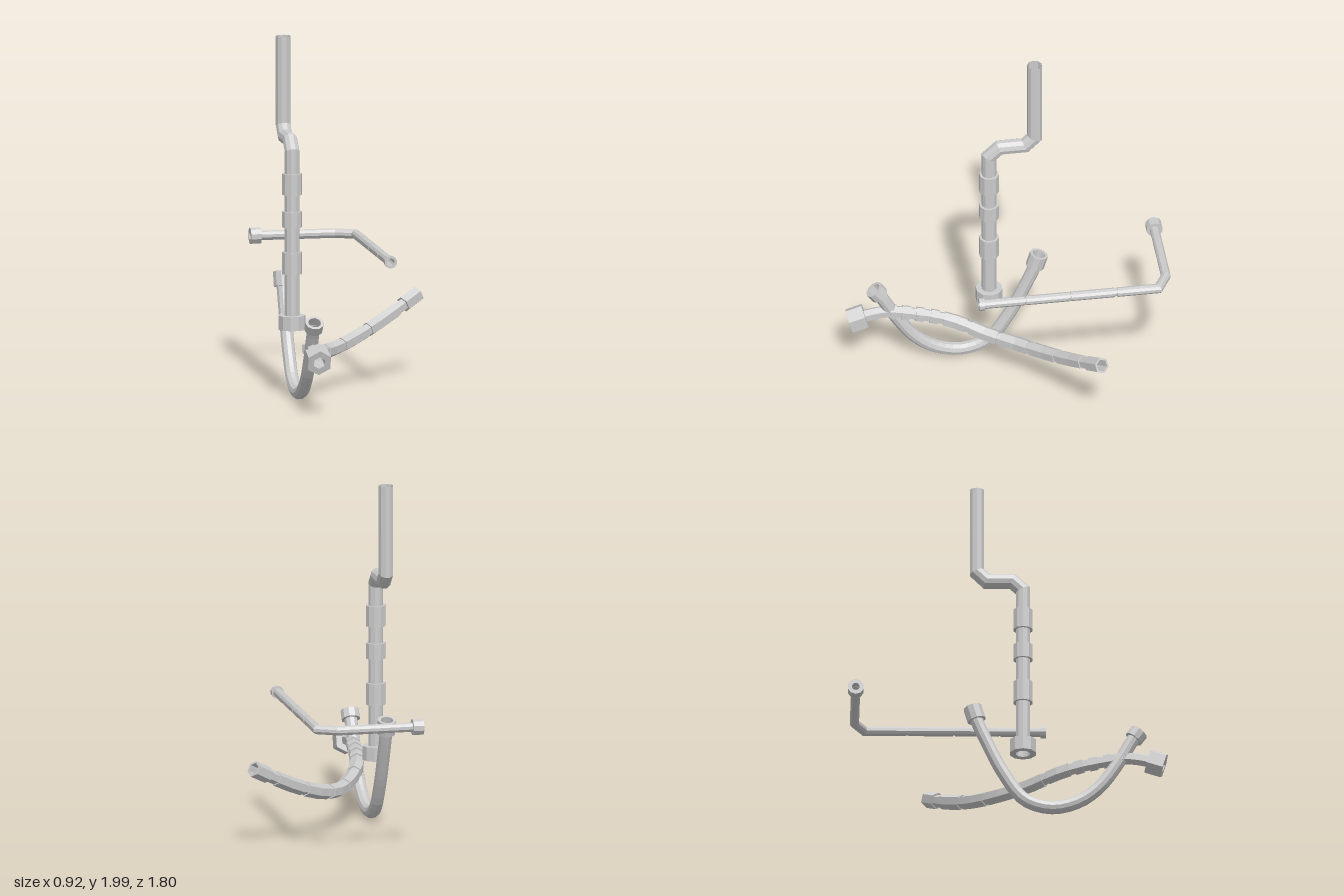
import * as THREE from 'three';

const V = (x, y, z) => new THREE.Vector3(x, y, z);
const X = V(1, 0, 0), Y = V(0, 1, 0);
const PX = -0.39; // x of the three pipes on the right-hand side

const material = new THREE.MeshStandardMaterial({ color: 0xcccccc, flatShading: true, side: THREE.DoubleSide });

// Sweeps a polygon along points with mitred corners; `ref` is the normal of the bend.
// With `ri` the ends are closed by an annular rim down to that inner radius.
function sweep(name, pts, r, sides, ref, ri) {
  const rings = pts.map((p, i) => [i, r]);
  if (ri) {
    rings.unshift([0, ri]);
    rings.push([pts.length - 1, ri]);
  }
  const pos = [], idx = [];
  for (const [i, rad] of rings) {
    const a = pts[i].clone().sub(pts[Math.max(i - 1, 0)]).normalize();
    const b = pts[Math.min(i + 1, pts.length - 1)].clone().sub(pts[i]).normalize();
    const t = a.clone().add(b).normalize();
    const miter = i > 0 && i < pts.length - 1 ? 1 / t.dot(b) : 1;
    const side = ref.clone().cross(t).normalize();
    const up = t.clone().cross(side);
    for (let k = 0; k < sides; k++) {
      const w = (k / sides) * Math.PI * 2;
      const p = pts[i].clone()
        .addScaledVector(up, Math.cos(w) * rad)
        .addScaledVector(side, -Math.sin(w) * rad * miter);
      pos.push(p.x, p.y, p.z);
    }
  }
  for (let i = 0; i < rings.length - 1; i++) {
    for (let k = 0; k < sides; k++) {
      const a = i * sides + k, b = i * sides + (k + 1) % sides;
      idx.push(a, b, a + sides, b, b + sides, a + sides);
    }
  }
  const g = new THREE.BufferGeometry();
  g.setAttribute('position', new THREE.Float32BufferAttribute(pos, 3));
  g.setIndex(idx);
  g.computeVertexNormals();
  const mesh = new THREE.Mesh(g, material);
  mesh.name = name;
  return mesh;
}

// Points of a curve between two arc-length fractions
const slice = (curve, u0, u1, n) =>
  Array.from({ length: n + 1 }, (_, i) => curve.getPointAt(u0 + (u1 - u0) * i / n));

function group(name, ...parts) {
  const g = new THREE.Group();
  g.name = name;
  g.add(...parts);
  return g;
}

// Tall pipe with an offset bend, three sleeves and a foot collar
function uprightPipe() {
  const path = [[2, -0.175], [1.495, -0.175], [1.44, -0.12], [1.44, 0.025], [1.385, 0.083], [0.375, 0.083]];
  const g = group('uprightPipe', sweep('pipe', path.map(([y, z]) => V(PX, y, z)), 0.042, 10, X));
  const collars = [[1.26, 1.14, 0.056], [1.045, 0.955, 0.056], [0.815, 0.69, 0.056], [0.455, 0.375, 0.076]];
  for (const [y0, y1, r] of collars) {
    g.add(sweep('collar', [V(PX, y0, 0.083), V(PX, y1, 0.083)], r, 10, X, 0.041));
  }
  return g;
}

// U-shaped pipe with a collar at each end
function curvedPipe() {
  const path = [[0.515, 0.735], [0.467, 0.7], [0.318, 0.615], [0.17, 0.51], [0.08, 0.393], [0.043, 0.244],
    [0.09, 0.095], [0.244, -0.02], [0.44, -0.117], [0.59, -0.18], [0.66, -0.2]];
  const curve = new THREE.CatmullRomCurve3(path.map(([y, z]) => V(PX, y, z)));
  return group('curvedPipe',
    sweep('pipe', slice(curve, 0, 1, 32), 0.037, 10, X),
    sweep('frontCollar', slice(curve, 0, 0.036, 1), 0.053, 10, X, 0.036),
    sweep('backCollar', slice(curve, 0.945, 1, 1), 0.053, 10, X, 0.036));
}

// Six-sided jointed hose: thin core, short ribs, long sleeves and end fittings
function jointedHose() {
  const path = [[PX, 0.307, 0.875], [PX, 0.335, 0.785], [-0.388, 0.352, 0.66], [-0.38, 0.343, 0.58],
    [-0.355, 0.313, 0.4], [-0.32, 0.283, 0.27], [-0.24, 0.245, 0.12], [-0.13, 0.235, -0.05],
    [0.01, 0.267, -0.18], [0.175, 0.335, -0.29], [0.33, 0.415, -0.38], [0.43, 0.47, -0.435]];
  const curve = new THREE.CatmullRomCurve3(path.map(p => V(...p)));
  // arc-length fraction at a given depth (z falls steadily along the hose)
  const at = z => {
    let lo = 0, hi = 1;
    for (let i = 0; i < 24; i++) {
      const m = (lo + hi) / 2;
      if (curve.getPointAt(m).z > z) lo = m; else hi = m;
    }
    return (lo + hi) / 2;
  };
  const g = group('jointedHose',
    sweep('core', slice(curve, 0, 1, 36), 0.036, 6, Y),
    sweep('frontFitting', slice(curve, 0, at(0.785), 1), 0.074, 6, Y, 0.05),
    sweep('frontFittingBore', slice(curve, 0, at(0.785), 1), 0.05, 6, Y, 0.035),
    sweep('endFitting', slice(curve, at(-0.385), 1, 1), 0.047, 6, Y, 0.035));
  const ribs = [[0.645, 0.61], [0.58, 0.535], [0.5, 0.455], [0.42, 0.375]];
  const sleeves = [[0.345, 0.225], [0.2, 0.06], [0.04, -0.1], [-0.115, -0.235], [-0.25, -0.355]];
  for (const [a, b] of ribs) g.add(sweep('rib', slice(curve, at(a), at(b), 1), 0.044, 6, Y, 0.035));
  for (const [a, b] of sleeves) g.add(sweep('sleeve', slice(curve, at(a), at(b), 2), 0.043, 6, Y, 0.035));
  return g;
}

// Level pipe with a chamfered corner, butted from separate lengths
function levelPipe() {
  const y = 0.76, x = 0.148;
  const g = group('levelPipe',
    sweep('cornerLength', [V(x, y, -0.563), V(x, y, -0.797), V(0.043, y, -0.855), V(-0.445, y, -0.855)], 0.027, 10, Y, 0.022),
    sweep('frontCollar', [V(x, y, 0.22), V(x, y, 0.19)], 0.036, 10, Y, 0.025),
    sweep('backCollar', [V(-0.385, y, -0.855), V(-0.445, y, -0.855)], 0.046, 10, Y, 0.026),
    sweep('jointCore', [V(x, y, 0.22), V(x, y, -0.6)], 0.022, 10, Y));
  for (const [a, b] of [[0.22, -0.035], [-0.045, -0.29], [-0.3, -0.55]]) {
    g.add(sweep('length', [V(x, y, a), V(x, y, b)], 0.027, 10, Y, 0.022));
  }
  return g;
}

export function createModel() {
  return group('pipeSet', uprightPipe(), curvedPipe(), jointedHose(), levelPipe());
}
